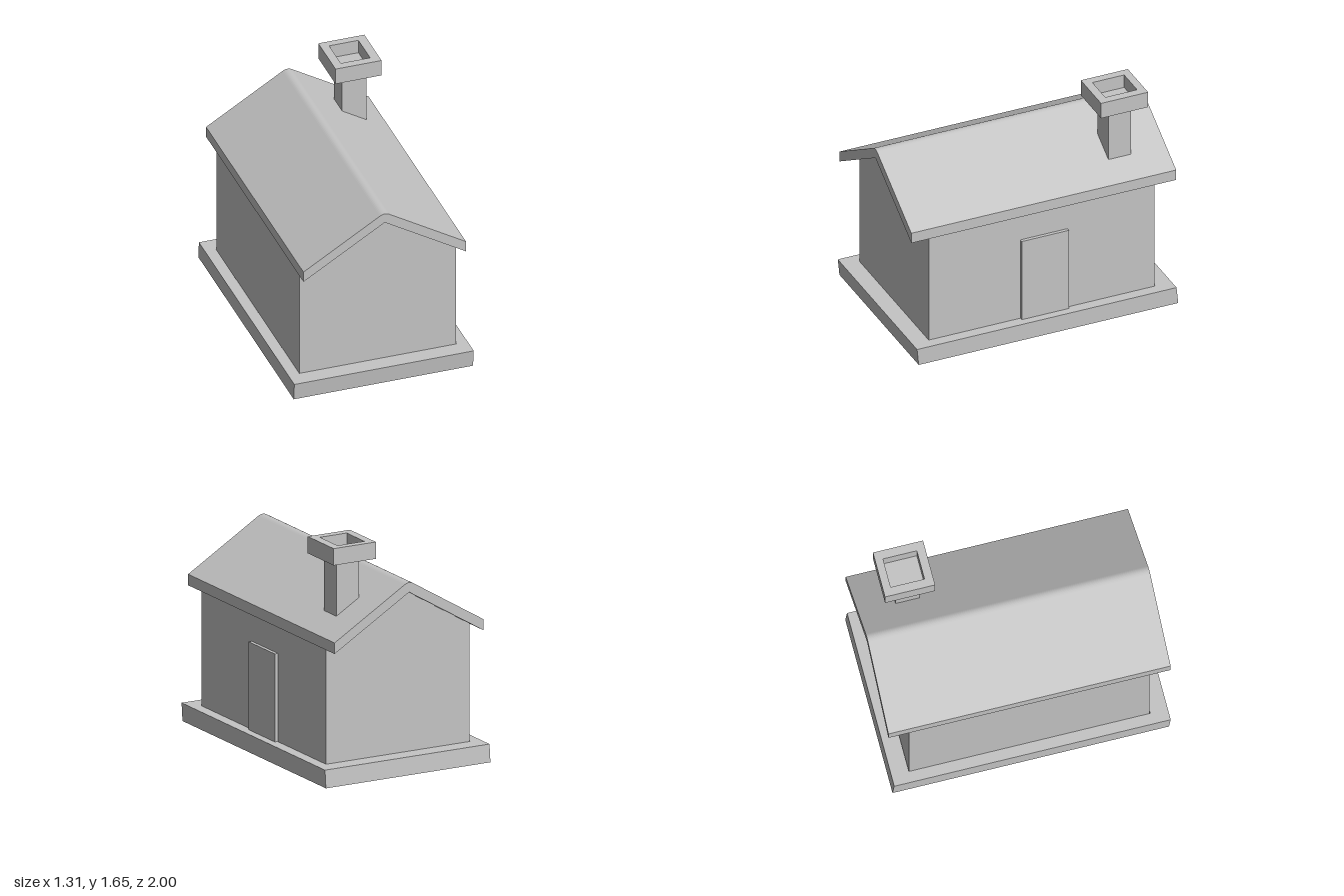
import * as THREE from 'three';

const grey = new THREE.MeshStandardMaterial({ color: 0xc4c4c4, side: THREE.DoubleSide });

function add(parent, name, geometry, x = 0, y = 0, z = 0) {
  const mesh = new THREE.Mesh(geometry, grey);
  mesh.name = name;
  mesh.position.set(x, y, z);
  parent.add(mesh);
  return mesh;
}

function polygon(points) {
  return new THREE.Shape(points.map(([x, y]) => new THREE.Vector2(x, y)));
}

const rect = (x0, x1, y0, y1) => [[x0, y0], [x1, y0], [x1, y1], [x0, y1]];

// Horizontal rectangular slab with a rectangular opening, standing on y = 0
function frame(outer, inner, height) {
  const shape = polygon(outer);
  shape.holes.push(polygon(inner));
  return new THREE.ExtrudeGeometry(shape, { depth: height, bevelEnabled: false }).rotateX(-Math.PI / 2);
}

export function createModel() {
  const house = new THREE.Group();
  house.name = 'house';
  const W = 0.57, zFront = 0.857, zBack = -0.847, eave = 0.967, peak = 1.31;

  // Plinth: open frame whose end faces lean slightly forward
  const baseHeight = 0.127;
  const base = frame(rect(-0.653, 0.653, -0.972, 0.987),
    rect(-W - 0.003, W + 0.003, -zFront - 0.003, -zBack + 0.003), baseHeight);
  const p = base.attributes.position;
  for (let i = 0; i < p.count; i++) {
    if (Math.abs(p.getZ(i)) > 0.9) p.setZ(i, p.getZ(i) + 0.1 * p.getY(i));
  }
  base.computeVertexNormals();
  add(house, 'plinth', base);

  // Hollow walls, open underneath
  const walls = new THREE.Group();
  walls.name = 'walls';
  house.add(walls);
  const gable = new THREE.ShapeGeometry(polygon([[-W, 0], [W, 0], [W, eave], [0, peak], [-W, eave]]));
  add(walls, 'frontWall', gable, 0, 0, zFront);
  add(walls, 'backWall', gable, 0, 0, zBack).rotation.y = Math.PI;
  for (const side of [1, -1]) {
    const wall = new THREE.PlaneGeometry(zFront - zBack, eave);
    add(walls, side > 0 ? 'leftWall' : 'rightWall', wall,
      side * W, eave / 2, (zFront + zBack) / 2).rotation.y = side * Math.PI / 2;
  }

  // Pitched roof with a rounded ridge
  const roof = new THREE.Shape();
  roof.moveTo(-0.592, 0.953);
  roof.lineTo(0, peak);
  roof.lineTo(0.592, 0.953);
  roof.lineTo(0.592, 1.032);
  roof.lineTo(0.034, 1.369);
  roof.quadraticCurveTo(0, 1.389, -0.034, 1.369);
  roof.lineTo(-0.592, 1.032);
  add(house, 'roof', new THREE.ExtrudeGeometry(roof, { depth: 2, bevelEnabled: false, curveSegments: 8 }), 0, 0, -1);

  // Door on the long side
  add(house, 'door', new THREE.BoxGeometry(0.03, 0.628, 0.356), 0.58, 0.441, -0.011);

  // Chimney shaft and its hollow cap
  const chimney = new THREE.Group();
  chimney.name = 'chimney';
  house.add(chimney);
  const shaft = polygon([[0.245, 1.19], [0.424, 1.08], [0.424, 1.53], [0.245, 1.53]]);
  add(chimney, 'chimneyShaft', new THREE.ExtrudeGeometry(shaft, { depth: 0.17, bevelEnabled: false }), 0, 0, -0.735);
  add(chimney, 'chimneyCap', frame(rect(0.165, 0.5, 0.475, 0.83), rect(0.225, 0.438, 0.535, 0.775), 0.12), 0, 1.53, 0);
  add(chimney, 'chimneyFloor', new THREE.BoxGeometry(0.213, 0.02, 0.24), 0.3315, 1.54, -0.655);

  return house;
}
